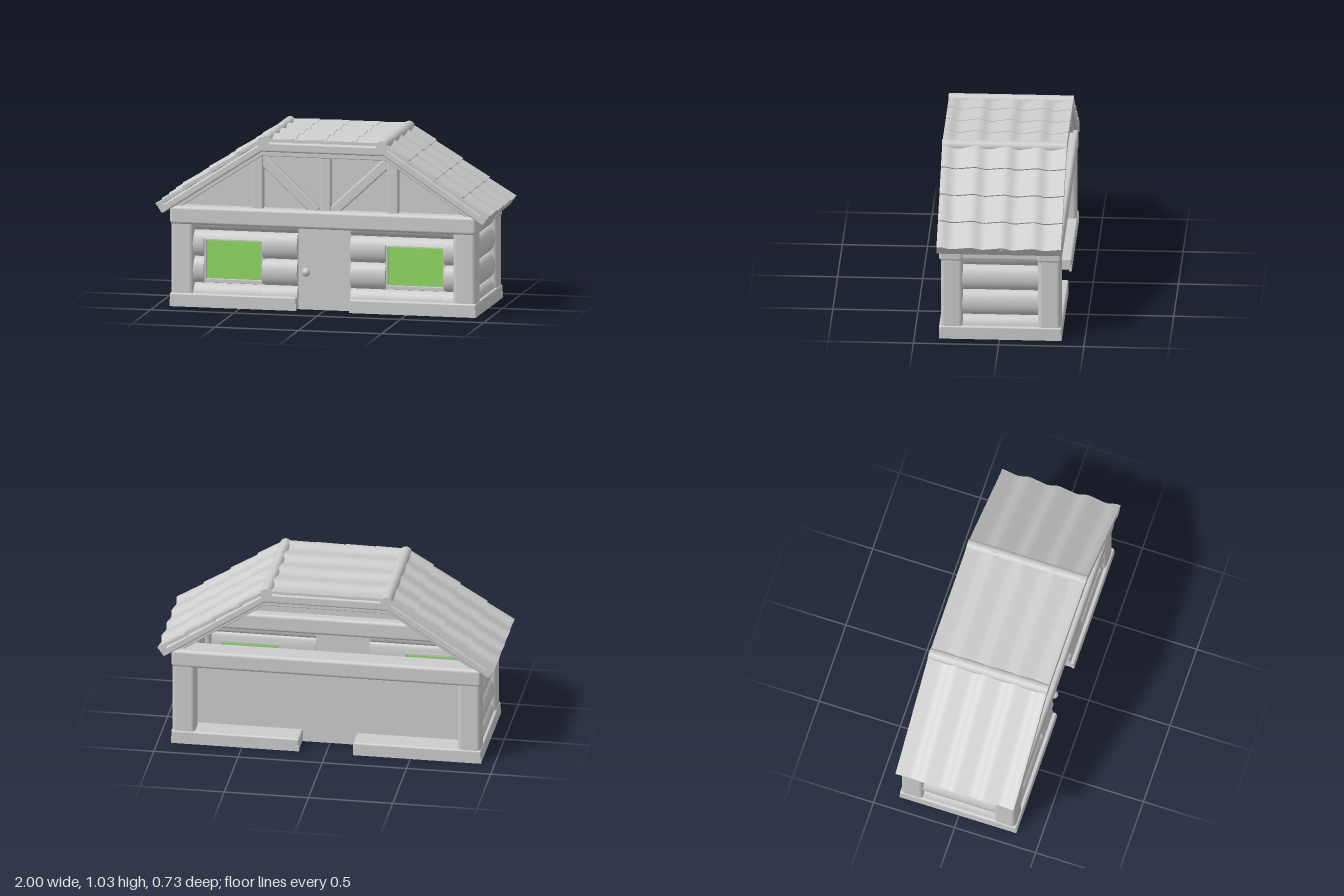
import * as THREE from 'three';
import { RoundedBoxGeometry } from 'three/addons/geometries/RoundedBoxGeometry.js';
import { toCreasedNormals } from 'three/addons/utils/BufferGeometryUtils.js';

export function createModel() {
  const model = new THREE.Group();
  const grey = new THREE.MeshStandardMaterial({ color: 0xcccccc });
  grey.name = 'plainGrey';
  const green = new THREE.MeshStandardMaterial({ color: 0x90da62 });
  green.name = 'windowGreen';

  const add = (name, geo, mat = grey, parent = model) => {
    const mesh = new THREE.Mesh(geo, mat);
    mesh.name = name;
    parent.add(mesh);
    return mesh;
  };
  // Box given by its limits; r rounds the edges
  const box = (name, x0, x1, y0, y1, z0, z1, r = 0, mat = grey) => {
    const s = [x1 - x0, y1 - y0, z1 - z0];
    const geo = r ? new RoundedBoxGeometry(...s, 3, r) : new THREE.BoxGeometry(...s);
    const mesh = add(name, geo, mat);
    mesh.position.set((x0 + x1) / 2, (y0 + y1) / 2, (z0 + z1) / 2);
    return mesh;
  };
  // Straight timber between two points in the xy plane
  const timber = (name, ax, ay, bx, by, width, z0, z1, r) => {
    const len = Math.hypot(bx - ax, by - ay);
    const mesh = box(name, -len / 2, len / 2, -width / 2, width / 2, z0, z1, r);
    mesh.position.set((ax + bx) / 2, (ay + by) / 2, (z0 + z1) / 2);
    mesh.rotation.z = Math.atan2(by - ay, bx - ax);
  };

  // Stacked log wall: bulging profile between y0 and y1, extruded along its length
  const PITCH = 0.157, SEAM = 0.137;
  const bulge = (y) => {
    const t = (((y - SEAM) / PITCH) % 1 + 1) % 1 * 2 - 1;
    return 0.02 + 0.05 * Math.sqrt(Math.max(0, 1 - t * t));
  };
  const logWall = (name, length, y0, y1) => {
    const ys = [];
    for (let k = -1; k < 4; k++) {
      for (let j = 0; j < 14; j++) {
        const y = SEAM + PITCH * (k + 0.5 - 0.5 * Math.cos((Math.PI * j) / 14));
        if (y > y0 + 0.002 && y < y1 - 0.002) ys.push(y);
      }
    }
    ys.unshift(y0);
    ys.push(y1);
    const outer = ys.map((y) => new THREE.Vector2(bulge(y), y));
    const inner = ys.map((y) => new THREE.Vector2(-0.35 * bulge(y), y)).reverse();
    const geo = new THREE.ExtrudeGeometry(new THREE.Shape([...outer, ...inner]), { depth: length, bevelEnabled: false });
    return add(name, toCreasedNormals(geo, 0.6));
  };
  const frontLogs = (x0, x1, y0, y1) => {
    const wall = logWall('frontLogs', x1 - x0, y0, y1);
    wall.rotation.y = -Math.PI / 2; // profile faces +z, length runs to -x
    wall.position.set(x1, 0, 0.265);
  };

  // Floor and foundation with door gaps front and back
  box('floor', -0.9, 0.9, 0.004, 0.02, -0.22, 0.29);
  for (const s of [-1, 1]) {
    const span = (a, b) => (s > 0 ? [a, b] : [-b, -a]);
    box('frontFoundation', ...span(0.16, 0.92), 0.004, 0.08, 0.28, 0.355, 0.01);
    box('backFoundation', ...span(0.16, 0.92), 0.004, 0.08, -0.365, -0.21, 0.012);
    box('sideFoundation', ...span(0.76, 0.92), 0.004, 0.08, -0.365, 0.355, 0.01);
    box('frontFoundationRim', ...span(0.16, 0.92), 0, 0.04, 0.34, 0.355);
    box('backFoundationRim', ...span(0.16, 0.92), 0, 0.04, -0.365, -0.35);
    box('sideFoundationRim', ...span(0.905, 0.92), 0, 0.04, -0.365, 0.355);

    // Corner posts
    box('frontPost', ...span(0.78, 0.915), 0.045, 0.52, 0.215, 0.345, 0.025);
    box('backPost', ...span(0.78, 0.915), 0.045, 0.52, -0.36, -0.225, 0.025);

    // Front logs around each window
    frontLogs(...span(0.16, 0.37), 0.07, 0.5);
    frontLogs(...span(0.72, 0.79), 0.07, 0.5);
    frontLogs(...span(0.37, 0.72), 0.07, 0.143);
    frontLogs(...span(0.37, 0.72), 0.405, 0.5);

    // End walls
    const side = logWall('sideLogs', 0.46, 0.07, 0.5);
    side.rotation.y = s > 0 ? 0 : Math.PI;
    side.position.set(s * 0.835, 0, s > 0 ? -0.235 : 0.225);
    box('sideTopBeam', ...span(0.79, 0.905), 0.49, 0.565, -0.24, 0.24, 0.02);

    // Window frame and pane
    box('windowFrame', ...span(0.362, 0.378), 0.142, 0.405, 0.235, 0.308);
    box('windowFrame', ...span(0.712, 0.727), 0.142, 0.405, 0.235, 0.308);
    box('windowFrame', ...span(0.362, 0.727), 0.393, 0.406, 0.235, 0.308);
    box('windowFrame', ...span(0.362, 0.727), 0.142, 0.162, 0.235, 0.308);
    box('windowPane', ...span(0.376, 0.714), 0.16, 0.395, 0.274, 0.28, 0, green);
  }

  // Back wall, door and knob
  box('backWall', -0.8, 0.8, 0.004, 0.5, -0.225, -0.215);
  box('door', -0.165, 0.165, 0, 0.5, 0.26, 0.29);
  const knob = add('doorKnob', new THREE.SphereGeometry(0.026, 8, 6));
  knob.position.set(-0.108, 0.227, 0.32);
  const stem = add('doorKnobStem', new THREE.CylinderGeometry(0.012, 0.012, 0.04, 8));
  stem.rotation.x = Math.PI / 2;
  stem.position.set(-0.108, 0.227, 0.3);

  // Long beams over the walls
  box('frontBeam', -0.92, 0.92, 0.488, 0.597, 0.215, 0.355, 0.02);
  box('backBeam', -0.92, 0.92, 0.488, 0.597, -0.365, -0.22, 0.02);

  // Front gable panel and its timbers
  const gable = new THREE.Shape([[-0.89, 0.585], [0.89, 0.585], [0.37, 0.94], [-0.37, 0.94]].map((p) => new THREE.Vector2(...p)));
  add('gablePanel', new THREE.ExtrudeGeometry(gable, { depth: 0.01, bevelEnabled: false })).position.z = 0.27;
  for (const x of [-0.4, 0.008, 0.412]) box('gablePost', x - 0.033, x + 0.033, 0.58, 0.93, 0.27, 0.325, 0.008);
  for (const s of [-1, 1]) timber('gableBrace', s * 0.385, 0.9, s * 0.045, 0.585, 0.06, 0.27, 0.318, 0.008);

  // Rafters and collar beams at both ends of the roof
  for (const [z0, z1, i0, i1] of [[0.29, 0.364, 0.265, 0.335], [-0.364, -0.29, -0.335, -0.265]]) {
    for (const s of [-1, 1]) {
      timber('rafter', s * 0.973, 0.569, s * 0.333, 0.989, 0.045, z0, z1, 0.01);
      timber('innerRafter', s * 0.885, 0.59, s * 0.36, 0.935, 0.03, i0, i1, 0.005);
    }
    box('collarBeam', -0.37, 0.37, 0.94, 0.997, z0, z1, 0.012);
    box('innerCollarBeam', -0.375, 0.375, 0.91, 0.945, i0, i1, 0.005);
  }

  // One row of wavy roof tiles; waves run along z
  const wave = (z) => {
    const u = (2 * Math.PI * (z - 0.314)) / 0.182;
    return 0.008 * Math.sin(u + 0.4 * Math.sin(u));
  };
  const tileRow = (length, thick) => {
    const geo = new THREE.BoxGeometry(length, thick, 0.73, 1, 1, 64);
    const p = geo.attributes.position;
    for (let i = 0; i < p.count; i++) p.setY(i, p.getY(i) + wave(p.getZ(i)));
    geo.computeVertexNormals();
    return geo;
  };

  // Sloping sides: four overlapping rows, the lowest with a thick eave
  const slope = Math.atan2(0.42, 0.64), slopeLen = 0.766;
  for (const s of [-1, 1]) {
    const side = new THREE.Group();
    side.name = s > 0 ? 'leftRoofSlope' : 'rightRoofSlope';
    side.position.set(s * 0.68, 0.82, 0);
    side.rotation.z = -s * slope;
    model.add(side);
    for (let i = 0; i < 4; i++) {
      const row = add('tileRow', tileRow(slopeLen / 4 + 0.012, 0.02), grey, side);
      row.position.set(s * (-slopeLen / 2 - 0.004 + (slopeLen / 4) * (i + 0.5)), -0.02, 0);
      row.rotation.z = s * 0.045;
    }
    const eave = add('eaveBoard', new THREE.BoxGeometry(0.04, 0.044, 0.73), grey, side);
    eave.position.set(s * (slopeLen / 2 - 0.02), -0.044, 0);

    // Rounded cap where slope meets the flat top
    const cap = add('ridgeCap', new THREE.CylinderGeometry(0.034, 0.034, 0.734, 16));
    cap.rotation.x = Math.PI / 2;
    cap.position.set(s * 0.357, 0.996, 0);
  }

  // Flat top of the roof
  for (let i = 0; i < 4; i++) {
    const row = add('topTileRow', tileRow(0.182, 0.018));
    row.position.set(-0.27 + 0.18 * i, 1.003, 0);
    row.rotation.z = 0.02;
  }
  return model;
}
